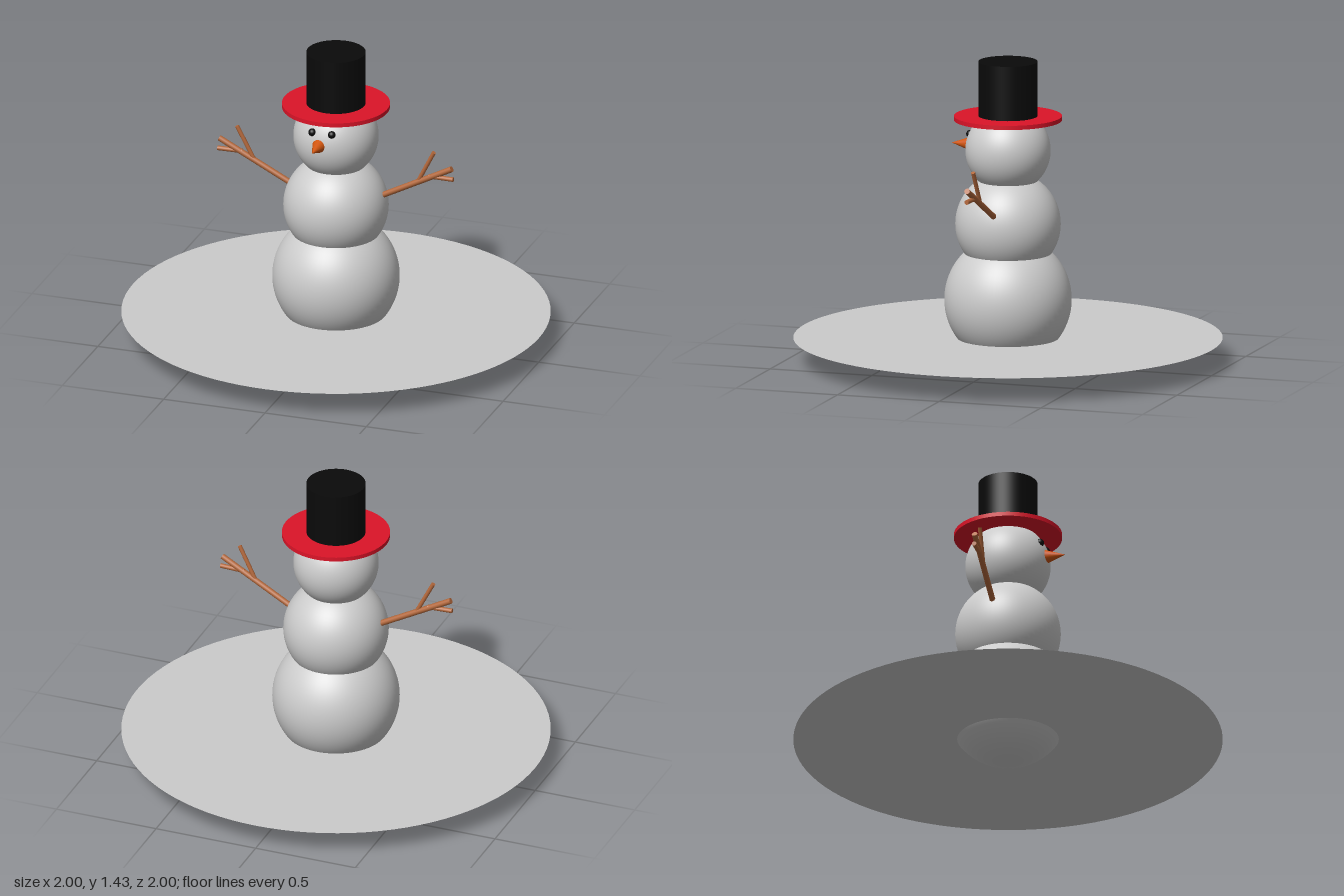
import * as THREE from 'three';

const material = (color, extra = {}) => new THREE.MeshStandardMaterial({ color, ...extra });

export function createModel() {
  const model = new THREE.Group();
  model.name = 'snowman';

  const snow = material(0xcccccc);
  const coal = material(0x0a0a0a);
  const red = material(0xdc1428);
  const carrot = material(0xd2560f);
  const wood = material(0xb5693c);

  const add = (name, geometry, mat, x, y, z, parent = model) => {
    const mesh = new THREE.Mesh(geometry, mat);
    mesh.name = name;
    mesh.position.set(x, y, z);
    parent.add(mesh);
    return mesh;
  };

  // Snowy ground: a thin disc that the lowest ball sinks through
  const ground = add('snowGround', new THREE.CircleGeometry(1, 96),
    material(0xcccccc, { side: THREE.DoubleSide }), 0, 0.12, 0);
  ground.rotation.x = -Math.PI / 2;

  // Three stacked snowballs
  const balls = [['bottomBall', 0.297, 0.302], ['middleBall', 0.246, 0.66], ['head', 0.199, 1.008]];
  for (const [name, r, y] of balls) {
    const ball = add(name, new THREE.SphereGeometry(r, 64, 40), snow, 0, y, 0);
    if (name === 'bottomBall') ball.scale.y = y / r;
  }

  // Top hat
  const hat = new THREE.Group();
  hat.name = 'topHat';
  model.add(hat);
  add('hatBrim', new THREE.CylinderGeometry(0.252, 0.252, 0.02, 64), red, 0, 1.162, 0, hat);
  add('hatCrown', new THREE.CylinderGeometry(0.138, 0.138, 0.265, 64), coal, 0, 1.297, 0, hat);

  // Face: two coal eyes and a carrot nose pointing forward
  for (const [name, x] of [['rightEye', -0.056], ['leftEye', 0.04]]) {
    add(name, new THREE.SphereGeometry(0.019, 24, 16), coal, x, 1.082, 0.172);
  }
  const nose = add('carrotNose', new THREE.ConeGeometry(0.035, 0.1, 32), carrot, -0.018, 1.024, 0.233);
  nose.rotation.x = Math.PI / 2;

  // Stick running between two points
  const up = new THREE.Vector3(0, 1, 0);
  const stick = (name, from, to, r0, r1, parent) => {
    const a = new THREE.Vector3(...from), b = new THREE.Vector3(...to);
    const dir = b.clone().sub(a);
    const mid = a.clone().add(b).multiplyScalar(0.5);
    const mesh = add(name, new THREE.CylinderGeometry(r1, r0, dir.length(), 10), wood, mid.x, mid.y, mid.z, parent);
    mesh.quaternion.setFromUnitVectors(up, dir.normalize());
  };

  // Twig arms, mirrored left and right
  for (const [name, s] of [['leftArm', 1], ['rightArm', -1]]) {
    const arm = new THREE.Group();
    arm.name = name;
    model.add(arm);
    stick('branch', [s * 0.21, 0.725, -0.008], [s * 0.574, 0.918, 0.007], 0.014, 0.014, arm);
    stick('upperTwig', [s * 0.405, 0.832, 0], [s * 0.486, 0.99, 0.007], 0.01, 0.01, arm);
    stick('lowerTwig', [s * 0.46, 0.865, 0.002], [s * 0.581, 0.866, 0.007], 0.011, 0.011, arm);
  }

  return model;
}
